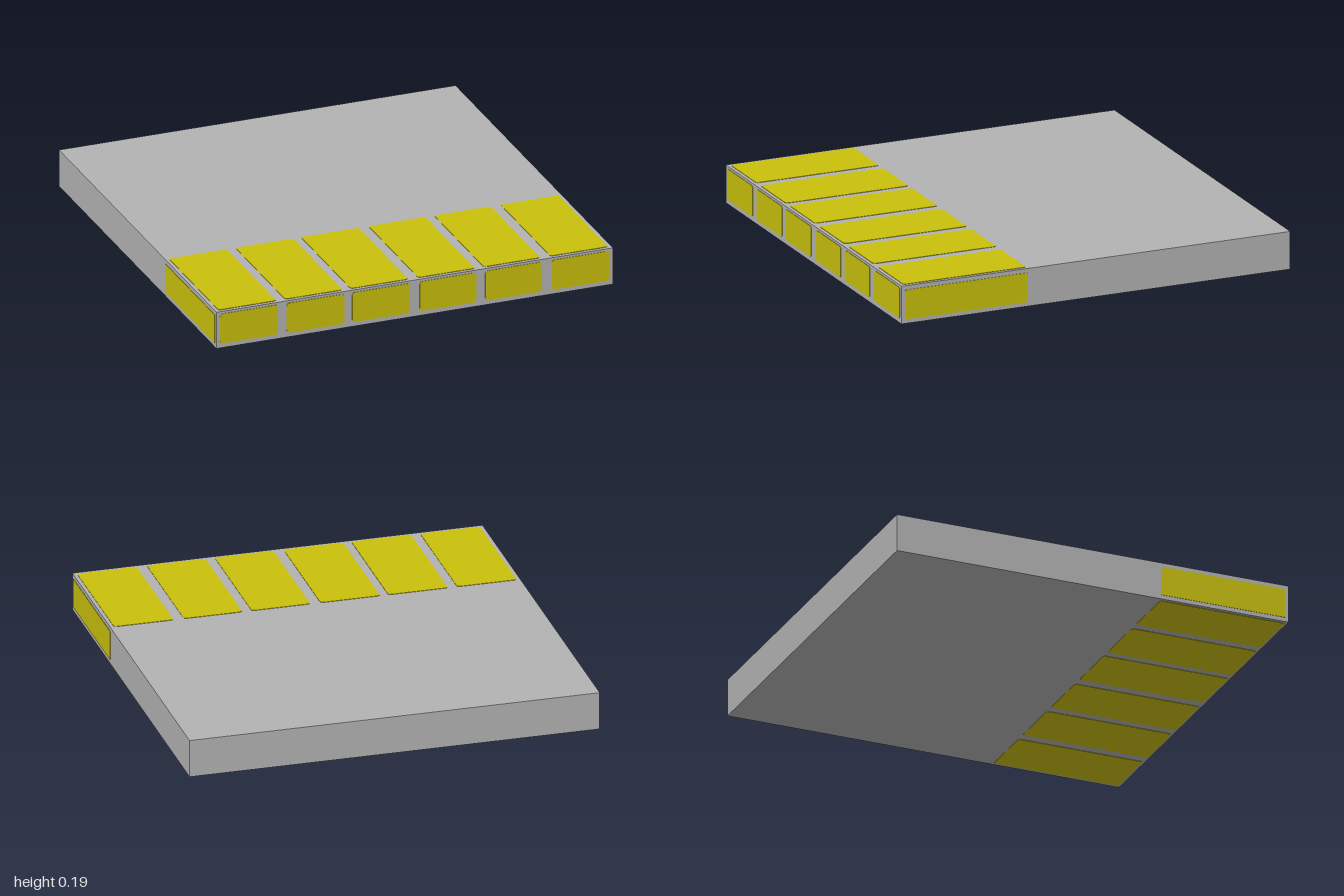
import * as THREE from 'three';

const H = 0.19;      // overall height
const SKIN = 0.002;  // how far the painted panels stand proud

export function createModel() {
  const grey = new THREE.MeshStandardMaterial({ color: 0xb3b3b3 });
  grey.name = 'grey';
  const yellow = new THREE.MeshStandardMaterial({ color: 0xc9c00c });
  yellow.name = 'yellow';

  const model = new THREE.Group();
  model.name = 'slab';

  // Main slab
  const body = new THREE.Mesh(
    new THREE.BoxGeometry(2 - 2 * SKIN, H - 2 * SKIN, 2 - 2 * SKIN), grey);
  body.name = 'body';
  body.position.y = H / 2;
  model.add(body);

  // Thin plate with softly rounded corners, lying in xy and facing +z
  function plate(name, w, h, position, rotation = [0, 0, 0], r = 0.015) {
    const x = w / 2, y = h / 2;
    const s = new THREE.Shape();
    s.moveTo(-x + r, -y);
    s.lineTo(x - r, -y).quadraticCurveTo(x, -y, x, -y + r);
    s.lineTo(x, y - r).quadraticCurveTo(x, y, x - r, y);
    s.lineTo(-x + r, y).quadraticCurveTo(-x, y, -x, y - r);
    s.lineTo(-x, -y + r).quadraticCurveTo(-x, -y, -x + r, -y);
    const geometry = new THREE.ExtrudeGeometry(s, { depth: SKIN * 2, bevelEnabled: false, curveSegments: 3 });
    geometry.translate(0, 0, -SKIN * 2);
    const mesh = new THREE.Mesh(geometry, yellow);
    mesh.name = name;
    mesh.position.set(...position);
    mesh.rotation.set(...rotation);
    model.add(mesh);
  }

  // Six stripes wrapping the front edge: top, front and underside
  const stripes = [[-0.98, -0.69], [-0.645, -0.355], [-0.315, -0.025],
    [0.025, 0.31], [0.355, 0.64], [0.69, 0.98]];
  for (const [x0, x1] of stripes) {
    const w = x1 - x0, x = (x0 + x1) / 2;
    plate('topStripe', w, 0.63, [x, H, 0.665], [-Math.PI / 2, 0, 0]);
    plate('frontStripe', w, 0.152, [x, 0.1, 1]);
    plate('bottomStripe', w, 0.635, [x, 0, 0.67], [Math.PI / 2, 0, 0]);
  }

  // One long panel on each side
  for (const side of [-1, 1]) {
    plate('sidePanel', 0.63, 0.145, [side, 0.095, 0.665], [0, side * Math.PI / 2, 0], 0.004);
  }
  return model;
}
